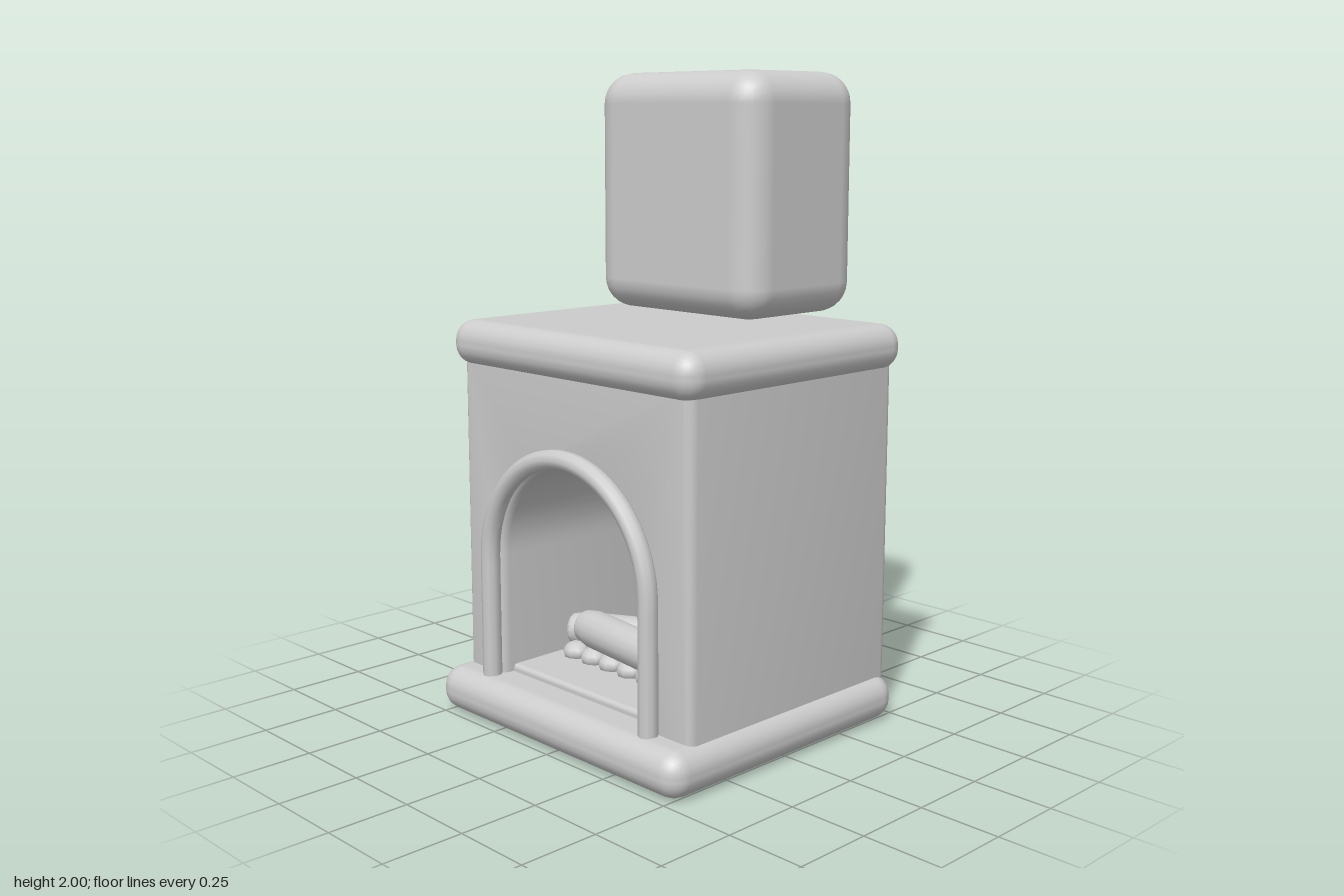
import * as THREE from 'three';
import { toCreasedNormals } from 'three/addons/utils/BufferGeometryUtils.js';
import { RoundedBoxGeometry } from 'three/addons/geometries/RoundedBoxGeometry.js';

export function createModel() {
  const model = new THREE.Group();
  model.name = 'fireplace';
  const stone = new THREE.MeshStandardMaterial({ color: 0xcccccc });
  stone.name = 'stone grey';

  function add(name, geometry, parent = model) {
    const mesh = new THREE.Mesh(geometry, stone);
    mesh.name = name;
    parent.add(mesh);
    return mesh;
  }

  // Rounded block given by its lower and upper corners
  function block(name, [x0, y0, z0], [x1, y1, z1], radius, segments = 3) {
    const geometry = new RoundedBoxGeometry(x1 - x0, y1 - y0, z1 - z0, segments, radius);
    geometry.translate((x0 + x1) / 2, (y0 + y1) / 2, (z0 + z1) / 2);
    return add(name, geometry);
  }

  block('base', [-0.54, 0, -0.485], [0.54, 0.142, 0.5], 0.065);
  block('mantel', [-0.53, 1.108, -0.5], [0.53, 1.25, 0.435], 0.065);
  block('chimney', [-0.342, 1.27, -0.5], [0.342, 2, -0.005], 0.095);

  // Body: block with an arched tunnel running front to back
  const archY = 0.525, archR = 0.325, bevel = 0.03;
  const outline = new THREE.Shape();
  outline.moveTo(-0.5, 0.07);
  outline.lineTo(-archR, 0.07);
  outline.lineTo(-archR, archY);
  outline.absarc(0, archY, archR, Math.PI, 0, true);
  outline.lineTo(archR, 0.07);
  outline.lineTo(0.5, 0.07);
  outline.lineTo(0.5, 1.17);
  outline.lineTo(-0.5, 1.17);
  const body = new THREE.ExtrudeGeometry(outline, {
    depth: 0.875 - 2 * bevel, curveSegments: 16,
    bevelThickness: bevel, bevelSize: bevel, bevelOffset: -bevel, bevelSegments: 4,
  });
  body.translate(0, 0, -0.475 + bevel);
  add('body', toCreasedNormals(body, 0.6));

  // Firebox lining
  block('firebackPanel', [-0.34, 0.12, -0.33], [0.34, 0.81, -0.25], 0.015, 2);
  block('hearthFloor', [-0.335, 0.11, -0.43], [0.335, 0.165, 0.36], 0.015, 2);

  // Tubular trim round the front opening
  const trimR = 0.355;
  const trimPoints = [];
  for (let i = 0; i < 5; i++) trimPoints.push(new THREE.Vector3(-trimR, 0.1 + i * 0.1, 0.42));
  for (let i = 0; i <= 16; i++) {
    const a = Math.PI * (1 - i / 16);
    trimPoints.push(new THREE.Vector3(trimR * Math.cos(a), archY + trimR * Math.sin(a), 0.42));
  }
  for (let i = 4; i >= 0; i--) trimPoints.push(new THREE.Vector3(trimR, 0.1 + i * 0.1, 0.42));
  add('archTrim', new THREE.TubeGeometry(new THREE.CatmullRomCurve3(trimPoints), 64, 0.03, 10));

  // Logs with rounded rims, each laid between two points
  const fire = new THREE.Group();
  fire.name = 'fire';
  model.add(fire);
  function log(name, from, to, r) {
    const a = new THREE.Vector3(...from), b = new THREE.Vector3(...to);
    const h = a.distanceTo(b) / 2;
    const profile = [
      [0, -h], [r * 0.72, -h], [r * 0.86, -h + 0.008], [r * 0.9, -h + 0.025], [r, -h + 0.06],
      [r, h - 0.06], [r * 0.9, h - 0.025], [r * 0.86, h - 0.008], [r * 0.72, h], [0, h],
    ].map(([x, y]) => new THREE.Vector2(x, y));
    const mesh = add(name, toCreasedNormals(new THREE.LatheGeometry(profile, 16), 0.7), fire);
    mesh.position.copy(a).add(b).multiplyScalar(0.5);
    mesh.quaternion.setFromUnitVectors(new THREE.Vector3(0, 1, 0), b.sub(a).normalize());
  }
  log('lowerLogLeft', [-0.31, 0.235, 0.13], [0.18, 0.235, -0.13], 0.057);
  log('lowerLogRight', [0.31, 0.25, 0.08], [-0.15, 0.25, -0.16], 0.057);
  log('topLog', [-0.23, 0.265, 0.14], [0.235, 0.265, 0.2], 0.06);

  // Bed of embers under the logs
  for (let row = 0; row < 3; row++) {
    for (let i = 0; i < 7; i++) {
      const ember = add('ember', new THREE.SphereGeometry(0.045, 10, 8), fire);
      ember.scale.y = 0.75;
      ember.position.set(-0.25 + i * 0.084, 0.178, 0.16 - row * 0.12);
    }
  }

  return model;
}
